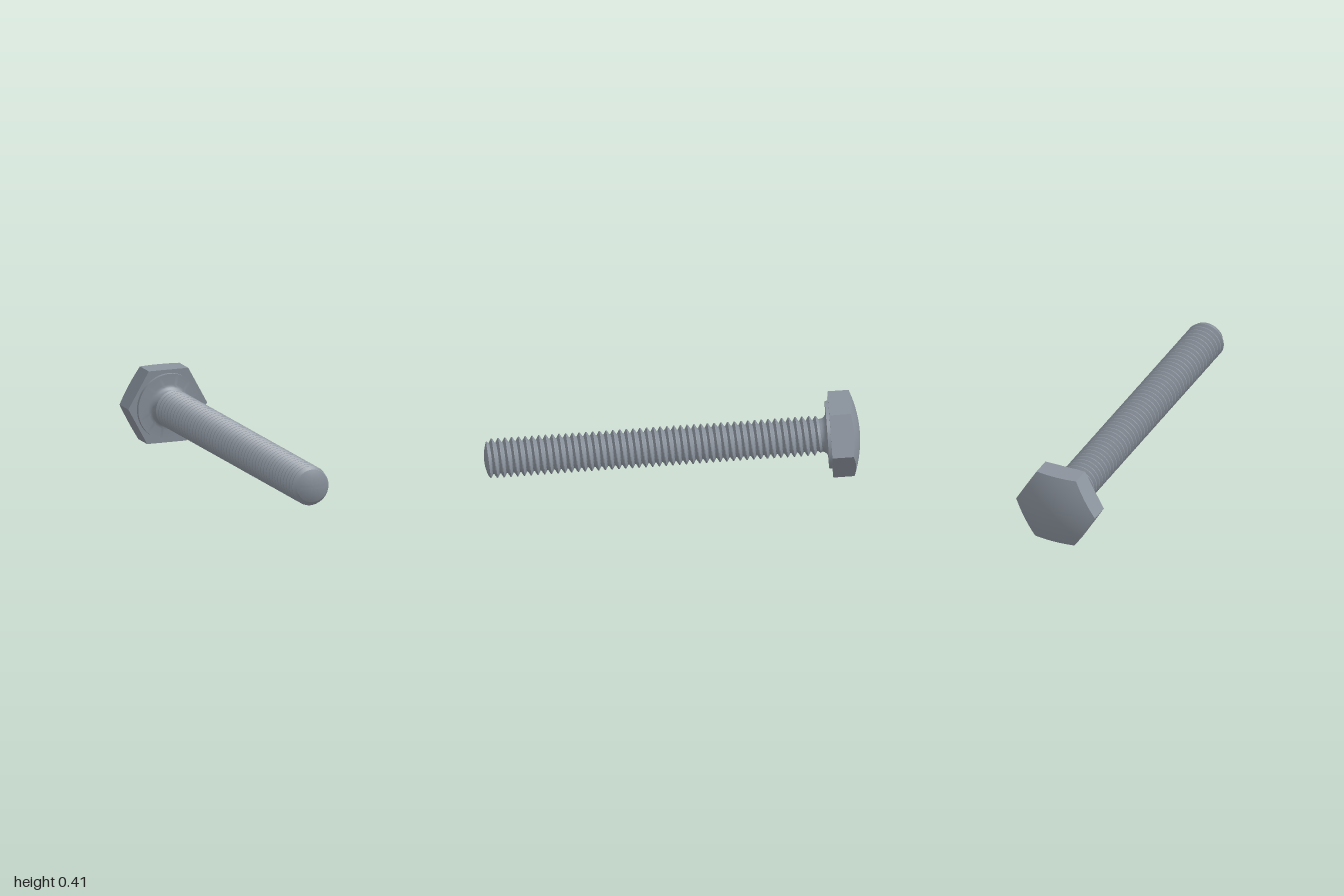
import * as THREE from 'three';
import { toCreasedNormals } from 'three/addons/utils/BufferGeometryUtils.js';

const TAU = Math.PI * 2;

// Surface swept around the local z axis: point(i, angle) gives [radius, z]
function sweep(rows, segments, point, crease = 0.45) {
  const positions = [], index = [];
  for (let i = 0; i < rows; i++) {
    for (let j = 0; j <= segments; j++) {
      const angle = (j / segments) * TAU;
      const [r, z] = point(i, angle);
      positions.push(r * Math.cos(angle), r * Math.sin(angle), z);
    }
  }
  const w = segments + 1;
  for (let i = 0; i < rows - 1; i++) {
    for (let j = 0; j < segments; j++) {
      const a = i * w + j, b = a + 1, c = a + w, d = c + 1;
      index.push(a, b, c, b, d, c);
    }
  }
  const geometry = new THREE.BufferGeometry();
  geometry.setAttribute('position', new THREE.Float32BufferAttribute(positions, 3));
  geometry.setIndex(index);
  return toCreasedNormals(geometry, crease);
}

export function createModel() {
  const steel = new THREE.MeshStandardMaterial({ color: 0x8a929c });
  steel.name = 'steel grey';

  const bolt = new THREE.Group();
  bolt.name = 'bolt';
  const add = (name, geometry) => {
    const mesh = new THREE.Mesh(geometry, steel);
    mesh.name = name;
    bolt.add(mesh);
  };

  // Hexagonal head with a domed top, underside at z = 0
  const apothem = 0.2025, corner = apothem / Math.cos(Math.PI / 6);
  const cornerHeight = 0.115, domeHeight = 0.045, domeRings = 12;
  const hexRadius = (angle) => {
    const fromFlat = (angle % (Math.PI / 3)) - Math.PI / 6;
    return apothem / Math.cos(fromFlat);
  };
  add('hexHead', sweep(domeRings + 4, 72, (i, angle) => {
    const rim = hexRadius(angle);
    if (i <= domeRings) {
      const r = (rim * i) / domeRings;
      return [r, -cornerHeight - domeHeight * (1 - (r / corner) ** 2)];
    }
    return [[rim, 0], [0.15, 0], [0.05, 0]][i - domeRings - 1];
  }));

  // Raised bearing face and the fillet leading into the shank
  const collar = [[0.183, -0.002], [0.183, 0.018], [0.125, 0.018]];
  for (let k = 1; k <= 6; k++) {
    const t = (k / 6) * Math.PI / 2;
    collar.push([0.125 - 0.037 * Math.sin(t), 0.018 + 0.037 * (1 - Math.cos(t))]);
  }
  collar.push([0.084, 0.07]);
  add('washerFace', sweep(collar.length, 64, (i) => collar[i]));

  // Right-handed thread, running out at the head and chamfered at the tip
  const pitch = 0.0365, root = 0.085, crest = 0.107;
  const start = 0.04, end = 1.855, tipRadius = 0.095;
  const notchAngle = 4.14, turns = 52;
  const steps = [0, 0.14, 0.5, 0.64];
  const threadRadius = (z, angle) => {
    let u = (z - end) / pitch - (angle - notchAngle) / TAU + 0.07;
    u -= Math.floor(u);
    let height = 0;
    if (u > 0.64) height = (1 - u) / 0.36;
    else if (u > 0.5) height = 1;
    else if (u > 0.14) height = (u - 0.14) / 0.36;
    const runOut = THREE.MathUtils.clamp((z - start) / pitch, 0, 1);
    const r = root + (crest - root) * height * runOut;
    return Math.min(r, tipRadius + (end - z));
  };
  add('threadedShank', sweep((turns + 2) * steps.length, 48, (i, angle) => {
    const turn = Math.floor(i / steps.length) - turns;
    const u = steps[i % steps.length] - 0.07;
    const raw = end + pitch * (turn + u + (angle - notchAngle) / TAU);
    const z = THREE.MathUtils.clamp(raw, start, end);
    return [threadRadius(z, angle), z];
  }));

  // Slightly domed tip whose rim follows the last thread groove
  const tipRings = 8;
  add('domedTip', sweep(tipRings + 1, 48, (i, angle) => {
    const t = 1 - i / tipRings;
    return [threadRadius(end, angle) * t, end + 0.018 * (1 - t * t)];
  }));

  // Lay the bolt down so that the head rim and the tip touch the ground
  const axis = new THREE.Vector3(0.977, -0.051, 0.206).normalize();
  const side = new THREE.Vector3(0, 1, 0).cross(axis).normalize();
  const up = axis.clone().cross(side);
  bolt.quaternion.setFromRotationMatrix(new THREE.Matrix4().makeBasis(side, up, axis));
  bolt.position.set(-0.835, 0.203, -0.118);

  const model = new THREE.Group();
  model.name = 'model';
  model.add(bolt);
  return model;
}
